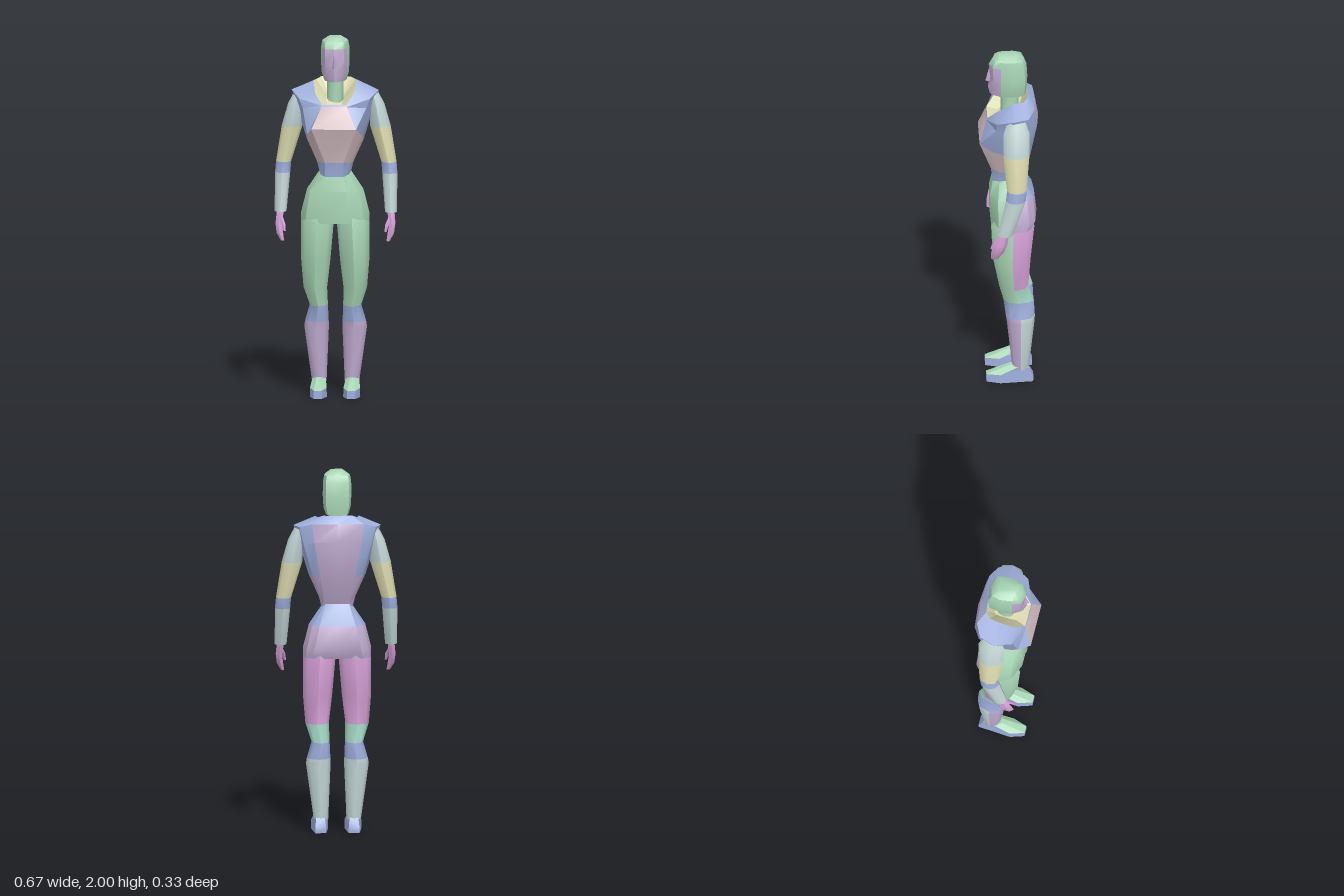
import * as THREE from 'three';
import { toCreasedNormals } from 'three/addons/utils/BufferGeometryUtils.js';

const COLOURS = {
  g: ['green', 0xa9d6b6], l: ['lilac', 0xc0abd0], b: ['blue', 0x9fafdc], p: ['pink', 0xd5a0d6],
  y: ['paleYellow', 0xdcdbb0], t: ['paleTeal', 0xc3d5d6], d: ['dustyRose', 0xd3bcc0], m: ['mint', 0xa6dac8],
};

// Oval ring starting at the front
const oval = (sides) => (x, y, z, rx, rz) => Array.from({ length: sides }, (_, j) => {
  const t = (j / sides) * Math.PI * 2;
  return [x + rx * Math.sin(t), y, z + rz * Math.cos(t)];
});

// Full ring from its left half, listed front to back
const mirrorRing = (half) => [...half, ...half.map(([x, y, z]) => [-x, y, z]).reverse()];

// Layer string: front centre, the side segments, back centre
const mirrorLayer = (s) => s.slice(1) + s.slice(1, -1).split('').reverse().join('') + s[0];

// Torso ring: front, side and back heights, then front corner, side and back corner
const torsoRing = (yf, ys, yb, xf, zf, xs, xb, zb) => mirrorRing([
  [xf, yf, zf],
  [xf + (xs - xf) * 0.75, (yf + ys) / 2, zf * 0.6],
  [xs, ys, -0.02],
  [xs + (xb - xs) * 0.3, ys, zb * 0.7],
  [xb, yb, zb * 0.93],
  [0, yb, zb],
]);

// Head ring: face centre, cheek, hairline, side, back corner, back centre
const headRing = (y, zf, cheekX, cheekZ, xs, zb) => mirrorRing([
  [0, y, zf], [cheekX, y, cheekZ], [xs * 0.88, y, 0.045],
  [xs, y, -0.02], [xs * 0.82, y, zb * 0.85], [0, y, zb],
]);

// Shoe ring: half width, height and depth of toe, side and heel
const shoeRing = (...rows) => {
  const corner = (row, s) => [0.092 + s * row[0], row[1], row[2]];
  const [toe, mid, heel] = rows;
  return [corner(toe, -1), corner(toe, 1), corner(mid, 1), corner(heel, 1), corner(heel, -1), corner(mid, -1)];
};

export function createModel() {
  const root = new THREE.Group();
  root.name = 'figure';
  const mats = {};
  for (const [key, [name, color]] of Object.entries(COLOURS)) {
    mats[key] = new THREE.MeshStandardMaterial({ color });
    mats[key].name = name;
  }

  // Skin over rings listed bottom to top; layers[i][j] is the colour of segment j above ring i.
  function loft(name, rings, layers, caps, { side = 1, crease = 0.6, shift = 0 } = {}) {
    const buckets = {};
    const tri = (key, a, b, c) => {
      const cross = new THREE.Vector3().subVectors(b, a).cross(new THREE.Vector3().subVectors(c, a));
      if (cross.length() < 1e-7) return;
      for (const v of side > 0 ? [a, b, c] : [c, b, a]) (buckets[key] ??= []).push(v.x * side + shift, v.y, v.z);
    };
    const rows = rings.map((r) => r.map((p) => new THREE.Vector3(...p)));
    const n = rows[0].length;
    layers.forEach((layer, i) => {
      for (let j = 0; j < n; j++) {
        const k = (j + 1) % n, key = layer[j % layer.length];
        tri(key, rows[i][j], rows[i][k], rows[i + 1][k]);
        tri(key, rows[i][j], rows[i + 1][k], rows[i + 1][j]);
      }
    });
    const first = rows[0], last = rows[rows.length - 1];
    for (let j = 1; j < n - 1; j++) {
      tri(caps[0], first[0], first[j + 1], first[j]);
      tri(caps[1], last[0], last[j], last[j + 1]);
    }
    const geo = new THREE.BufferGeometry();
    const keys = Object.keys(buckets);
    let start = 0;
    keys.forEach((key, i) => {
      geo.addGroup(start, buckets[key].length / 3, i);
      start += buckets[key].length / 3;
    });
    geo.setAttribute('position', new THREE.Float32BufferAttribute(Object.values(buckets).flat(), 3));
    const mesh = new THREE.Mesh(toCreasedNormals(geo, crease), keys.map((k) => mats[k]));
    mesh.name = name;
    root.add(mesh);
  }

  // Hips up to the waist
  const waist = torsoRing(1.23, 1.25, 1.265, 0.05, 0.09, 0.088, 0.065, -0.065);
  loft('hips', [
    torsoRing(0.97, 0.97, 0.97, 0.06, 0.1, 0.188, 0.14, -0.13),
    torsoRing(1.02, 1.02, 1.02, 0.06, 0.105, 0.188, 0.13, -0.153),
    torsoRing(1.15, 1.15, 1.15, 0.07, 0.105, 0.155, 0.1, -0.138),
    waist,
  ], ['gggllll', 'gggllll', 'gggbbbb'].map(mirrorLayer), 'gg', { shift: -0.005 });

  // Jacket, shoulders and the collar folding in to the neck
  loft('jacket', [
    waist,
    torsoRing(1.31, 1.3, 1.3, 0.05, 0.1, 0.1, 0.075, -0.08),
    torsoRing(1.505, 1.43, 1.42, 0.123, 0.165, 0.158, 0.095, -0.125),
    torsoRing(1.625, 1.6, 1.62, 0.07, 0.125, 0.21, 0.13, -0.163),
    torsoRing(1.63, 1.7, 1.72, 0.068, 0.122, 0.24, 0.142, -0.145),
    torsoRing(1.635, 1.75, 1.762, 0.066, 0.12, 0.12, 0.08, -0.105),
    torsoRing(1.63, 1.66, 1.66, 0.04, 0.06, 0.05, 0.04, -0.065),
  ], ['bbbllll', 'dddllll', 'dbbbbll', 'bbbbbll', 'bbbbbbb', 'yyyyyyy'].map(mirrorLayer), 'by', { shift: -0.005 });

  // Head: face in front, hair around it
  loft('head', [
    headRing(1.76, 0.105, 0.025, 0.095, 0.063, -0.095),
    headRing(1.8, 0.115, 0.04, 0.09, 0.075, -0.1),
    headRing(1.865, 0.105, 0.052, 0.085, 0.079, -0.103),
    headRing(1.942, 0.11, 0.052, 0.09, 0.078, -0.098),
    headRing(1.978, 0.09, 0.05, 0.075, 0.071, -0.083),
    headRing(2, 0.052, 0.03, 0.05, 0.036, -0.05),
  ], ['lllgggg', 'lllgggg', 'lllgggg', 'g', 'g'].map((s) => (s === 'g' ? s : mirrorLayer(s))), 'gg',
  { crease: 0.75, shift: -0.005 });
  loft('nose', [oval(4)(0, 1.835, 0.1, 0.013, 0.028), oval(4)(0, 1.91, 0.1, 0.006, 0.01)], ['l'], 'll', { shift: -0.005 });
  loft('neck', [1.63, 1.79].map((y) => oval(8)(0, y, -0.005, 0.045, 0.05)), ['g'], 'gg', { crease: 0.9, shift: -0.005 });

  for (const side of [1, -1]) {
    const prefix = side > 0 ? 'left' : 'right';
    const ring = oval(8), handRing = oval(6);

    // Arm: forearm, elbow band, sleeve
    loft(prefix + 'Arm', [
      ring(0.304, 1.03, 0.03, 0.033, 0.042),
      ring(0.295, 1.24, -0.028, 0.042, 0.055),
      ring(0.29, 1.3, -0.033, 0.042, 0.054),
      ring(0.243, 1.5, -0.033, 0.057, 0.072),
      ring(0.223, 1.62, -0.035, 0.043, 0.072),
      ring(0.203, 1.685, -0.035, 0.03, 0.05),
    ], ['t', 'b', 'y', 't', 't'], 'tt', { side, crease: 0.9 });

    // Hand with a separate thumb
    loft(prefix + 'Hand', [
      handRing(0.291, 0.877, 0.09, 0.01, 0.02),
      handRing(0.306, 0.92, 0.075, 0.02, 0.034),
      handRing(0.312, 0.97, 0.06, 0.02, 0.04),
      handRing(0.304, 1.035, 0.038, 0.022, 0.028),
    ], ['p', 'p', 'p'], 'pp', { side });
    loft(prefix + 'Thumb', [
      handRing(0.278, 0.93, 0.1, 0.007, 0.012),
      handRing(0.284, 0.965, 0.088, 0.011, 0.016),
      handRing(0.3, 1, 0.06, 0.012, 0.02),
    ], ['p', 'p'], 'pp', { side });

    // Leg: shin, cuff, knee and thigh
    loft(prefix + 'Leg', [
      ring(0.09, 0.07, -0.062, 0.04, 0.045),
      ring(0.105, 0.38, -0.062, 0.068, 0.077),
      ring(0.103, 0.41, -0.06, 0.065, 0.08),
      ring(0.092, 0.5, -0.052, 0.05, 0.083),
      ring(0.11, 0.6, -0.024, 0.065, 0.08),
      ring(0.107, 0.76, -0.014, 0.081, 0.102),
      ring(0.098, 0.97, -0.02, 0.09, 0.118),
      ring(0.095, 1.03, -0.02, 0.075, 0.095),
    ], ['llttttll', 'llttttll', 'b', 'ggmmmmgg', 'ggppppgg', 'ggppppgg', 'ggllllgg'], 'gg',
    { side, crease: 0.9, shift: -0.005 });

    // Shoe with a coloured instep
    loft(prefix + 'Shoe', [
      shoeRing([0.023, 0, 0.127], [0.047, 0, 0.05], [0.03, 0, -0.13]),
      shoeRing([0.021, 0.045, 0.127], [0.046, 0.05, 0.05], [0.03, 0.03, -0.132]),
      shoeRing([0.013, 0.1, -0.005], [0.037, 0.09, -0.04], [0.024, 0.08, -0.105]),
    ], ['b', 'ggbbbg'], 'dg', { side, shift: -0.003 });
  }
  return root;
}
